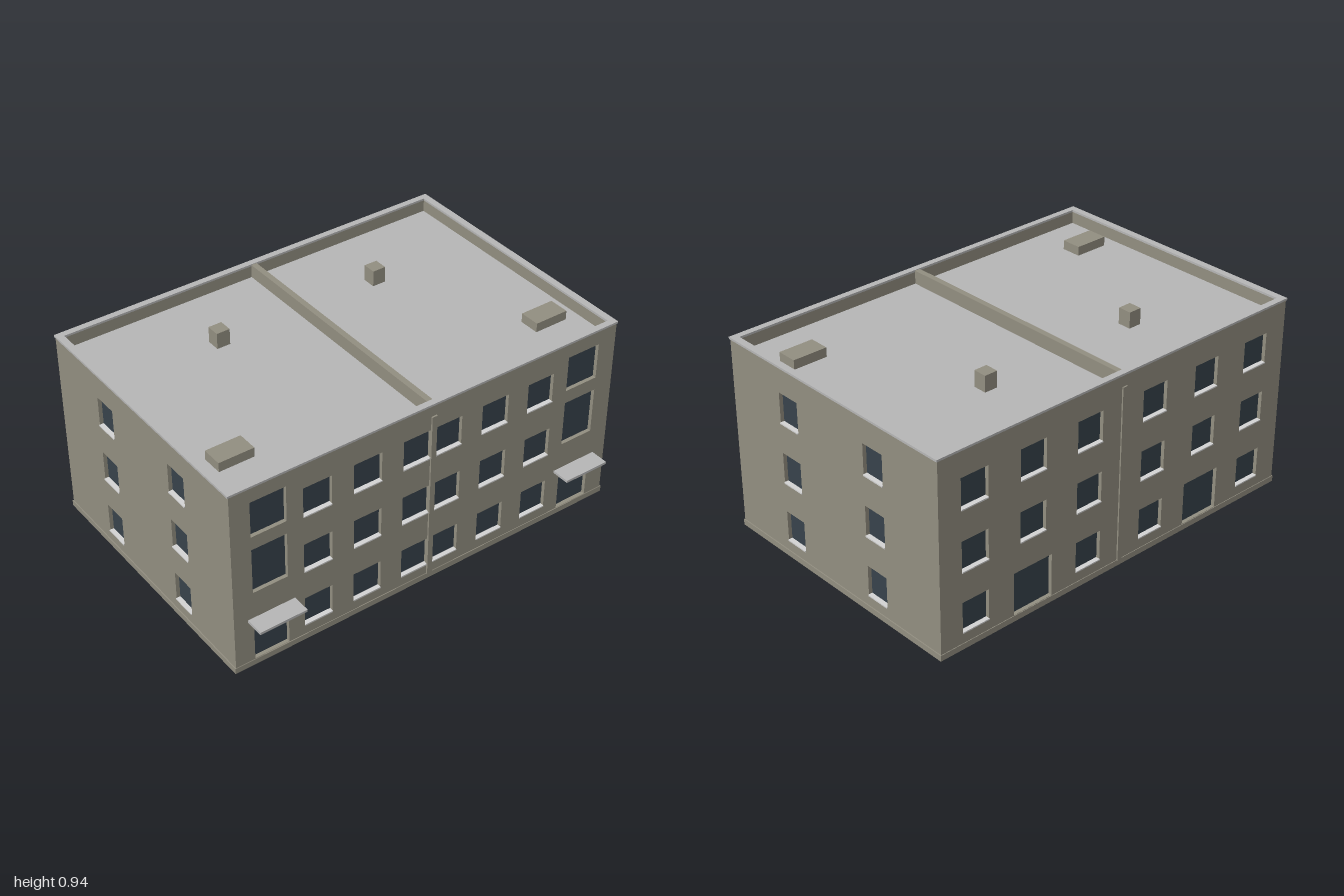
import * as THREE from 'three';

const mat = (name, color) => {
  const m = new THREE.MeshStandardMaterial({ color });
  m.name = name;
  return m;
};

// Main dimensions
const HALF_X = 0.995, HALF_Z = 0.664, MID_Z = -0.041;
const WALL_TOP = 0.925, WALL = 0.028, RECESS = 0.018, ROOF_Y = 0.868;
const ROWS = [0.08, 0.37, 0.66];

export function createModel() {
  const wall = mat('wall plaster', 0x949082);
  const roof = mat('roof grey', 0xb8b8b8);
  const glass = mat('dark glass', 0x38434c);
  const sillMat = mat('pale sill', 0xd6d6d6);

  const model = new THREE.Group();
  model.name = 'apartmentBlock';

  const box = (name, material, w, h, d, x, y, z, parent = model) => {
    const mesh = new THREE.Mesh(new THREE.BoxGeometry(w, h, d), material);
    mesh.name = name;
    mesh.position.set(x, y, z);
    parent.add(mesh);
    return mesh;
  };

  // A facade whose outer face lies at local z = 0, with recessed openings
  const facade = (name, half, openings) => {
    const group = new THREE.Group();
    group.name = name;
    const shape = new THREE.Shape();
    shape.moveTo(-half, 0.01).lineTo(half, 0.01).lineTo(half, WALL_TOP).lineTo(-half, WALL_TOP).closePath();
    for (const { x, y, w, h, sill } of openings) {
      const hole = new THREE.Path();
      hole.moveTo(x - w / 2, y).lineTo(x - w / 2, y + h).lineTo(x + w / 2, y + h).lineTo(x + w / 2, y).closePath();
      shape.holes.push(hole);
      box(sill ? 'windowPane' : 'tallPane', glass, w, h, 0.006, x, y + h / 2, -RECESS - 0.003, group);
      if (sill) box('windowSill', sillMat, w, 0.006, RECESS + 0.004, x, y, (0.004 - RECESS) / 2, group);
    }
    const geo = new THREE.ExtrudeGeometry(shape, { depth: WALL, bevelEnabled: false });
    geo.translate(0, 0, -WALL);
    const mesh = new THREE.Mesh(geo, wall);
    mesh.name = name + 'Wall';
    group.add(mesh);
    model.add(group);
    return group;
  };

  // Front: three window columns and a stairwell column in each half
  const frontOpenings = [];
  const backOpenings = [];
  for (const s of [-1, 1]) {
    for (const x of [0.081, 0.331, 0.58])
      for (const y of ROWS) frontOpenings.push({ x: s * x, y, w: 0.14, h: 0.145, sill: true });
    for (const [y, h] of [[0.03, 0.21], [0.39, 0.225], [0.68, 0.175]])
      frontOpenings.push({ x: s * 0.815, y, w: 0.17, h });
    // Back: three window columns, the middle one with a door at ground level
    for (const x of [0.187, 0.5, 0.81])
      for (const y of ROWS)
        if (x !== 0.5 || y !== ROWS[0])
          backOpenings.push({ x: s * x, y, w: 0.14, h: 0.145, sill: true });
    backOpenings.push({ x: s * 0.5, y: 0.03, w: 0.21, h: 0.205 });
  }
  facade('frontFacade', HALF_X, frontOpenings).position.z = MID_Z + HALF_Z;
  const back = facade('backFacade', HALF_X, backOpenings);
  back.rotation.y = Math.PI;
  back.position.z = MID_Z - HALF_Z;

  // Sides: two window columns each
  for (const s of [-1, 1]) {
    const openings = [];
    for (const z of [0.235, -0.312])
      for (const y of ROWS)
        openings.push({ x: -s * (z - MID_Z), y, w: 0.12, h: 0.145, sill: true });
    const side = facade(s > 0 ? 'leftFacade' : 'rightFacade', HALF_Z - WALL, openings);
    side.rotation.y = s * Math.PI / 2;
    side.position.set(s * HALF_X, 0, MID_Z);
  }

  // Plinth and sunken flat roof
  box('plinth', wall, 2, 0.028, HALF_Z * 2 + 0.006, 0, 0.014, MID_Z);
  box('roofDeck', roof, 2 * (HALF_X - WALL), 0.02, 2 * (HALF_Z - WALL), 0, ROOF_Y - 0.01, MID_Z);

  // Coping around the parapet
  const rect = (path, w, d) =>
    path.moveTo(-w, -d).lineTo(w, -d).lineTo(w, d).lineTo(-w, d).closePath();
  const ring = rect(new THREE.Shape(), 1, HALF_Z + 0.003);
  ring.holes.push(rect(new THREE.Path(), HALF_X - WALL, HALF_Z - WALL));
  const copingGeo = new THREE.ExtrudeGeometry(ring, { depth: 0.01, bevelEnabled: false });
  copingGeo.rotateX(-Math.PI / 2);
  const coping = new THREE.Mesh(copingGeo, roof);
  coping.name = 'parapetCoping';
  coping.position.set(0, WALL_TOP, MID_Z);
  model.add(coping);

  // Dividing wall across the roof and the joint strips down both long faces
  box('roofDivider', wall, 0.028, 0.065, 2 * (HALF_Z - WALL), 0, ROOF_Y + 0.0315, MID_Z);
  box('frontJointStrip', wall, 0.026, 0.845, 0.012, 0, 0.45, MID_Z + HALF_Z + 0.002);
  box('backJointStrip', wall, 0.026, 0.845, 0.012, 0, 0.45, MID_Z - HALF_Z - 0.001);

  // Roof vents, stairwell hatches and entrance canopies
  for (const s of [-1, 1]) {
    box('roofVent', wall, 0.065, 0.08, 0.065, s * 0.414, 0.905, -0.327);
    box('roofHatch', wall, 0.168, 0.045, 0.098, s * 0.815, ROOF_Y + 0.0215, 0.361);
    box('entranceCanopy', roof, 0.23, 0.012, 0.1, s * 0.813, 0.251, 0.662);
  }
  return model;
}
